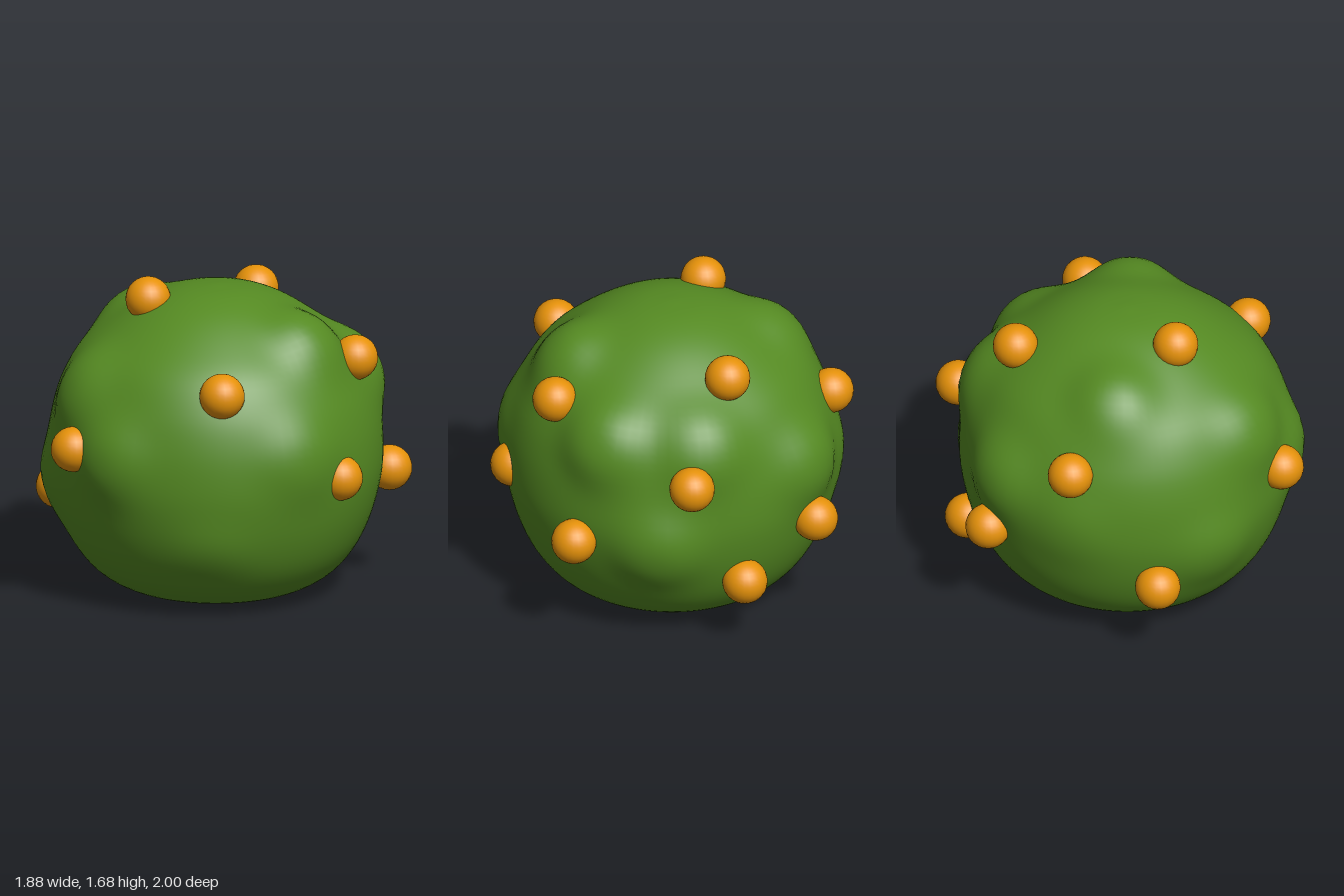
import * as THREE from 'three';
import { mergeVertices } from 'three/addons/utils/BufferGeometryUtils.js';

const leafGreen = new THREE.MeshStandardMaterial({ color: 0x558a22 });
leafGreen.name = 'leafGreen';
const berryOrange = new THREE.MeshStandardMaterial({ color: 0xe6920a });
berryOrange.name = 'berryOrange';

// Half outline of the bush, flat base to crown
const PROFILE = [
  [0, 0], [0.2, 0.002], [0.35, 0.008], [0.5, 0.045], [0.635, 0.13], [0.74, 0.26], [0.815, 0.43], [0.86, 0.62],
  [0.868, 0.78], [0.85, 0.95], [0.8, 1.12], [0.705, 1.285], [0.555, 1.42], [0.37, 1.54], [0.19, 1.605], [0, 1.625],
];

// Tips of the knobs that swell out of the foliage
const KNOBS = [
  [0.61, 1.47, -0.2], [-0.61, 1.46, 0.14], [0.9, 0.87, 0.1], [0.38, 1.19, -0.77],
  [0.06, 0.55, -0.91], [0.17, 0.85, 0.91], [-0.19, 1.17, 0.825], [-0.55, 0.53, 0.7],
  [0.58, 0.29, 0.5], [-0.2, 1.18, -0.82], [-0.8, 0.92, -0.48], [-0.89, 0.74, -0.03],
];

const BERRIES = [
  [-0.08, 0.87, 0.88], [-0.155, 1.565, 0.325], [0.61, 1.23, 0.445], [-0.825, 1.1, -0.01],
  [-0.75, 0.45, 0.445], [0.82, 0.73, -0.17], [0.595, 1.28, -0.45], [-0.3, 1.45, -0.505],
  [-0.125, 1.0, -0.885], [0.49, 0.61, -0.76], [-0.395, 0.37, -0.735], [-0.755, 0.61, -0.49],
];

function makeFoliage() {
  const curve = new THREE.SplineCurve(PROFILE.map(([r, y]) => new THREE.Vector2(r, y)));
  const outline = curve.getSpacedPoints(64);
  outline.forEach((p) => { p.x = Math.max(p.x, 0); p.y = Math.max(p.y, 0); });
  let geometry = new THREE.LatheGeometry(outline, 96);
  geometry.deleteAttribute('uv');
  geometry.deleteAttribute('normal');
  geometry = mergeVertices(geometry, 1e-4);

  // Pull the surface out towards each knob tip, flat on top with a soft edge
  const centre = new THREE.Vector3(0, 0.8, 0);
  const knobs = KNOBS.map((k) => {
    const dir = new THREE.Vector3(...k).sub(centre);
    const reach = dir.length();
    return { dir: dir.normalize(), reach };
  });
  const pos = geometry.attributes.position;
  const v = new THREE.Vector3();
  for (let i = 0; i < pos.count; i++) {
    v.fromBufferAttribute(pos, i).sub(centre);
    let radius = v.length();
    v.normalize();
    for (const { dir, reach } of knobs) {
      const weight = Math.exp(-((v.angleTo(dir) / 0.25) ** 2.6));
      radius += Math.max(reach - radius, 0) * weight;
    }
    v.multiplyScalar(radius).add(centre);
    pos.setXYZ(i, v.x, Math.max(v.y, 0), v.z);
  }
  geometry.computeVertexNormals();
  const mesh = new THREE.Mesh(geometry, leafGreen);
  mesh.name = 'foliage';
  return mesh;
}

export function createModel() {
  const bush = new THREE.Group();
  bush.name = 'berryBush';
  bush.add(makeFoliage());

  // Round berries half sunk into the foliage
  const berries = new THREE.Group();
  berries.name = 'berries';
  const berryGeometry = new THREE.SphereGeometry(0.118, 24, 16);
  BERRIES.forEach((p) => {
    const berry = new THREE.Mesh(berryGeometry, berryOrange);
    berry.name = 'berry';
    berry.position.set(...p);
    berries.add(berry);
  });
  bush.add(berries);
  return bush;
}
